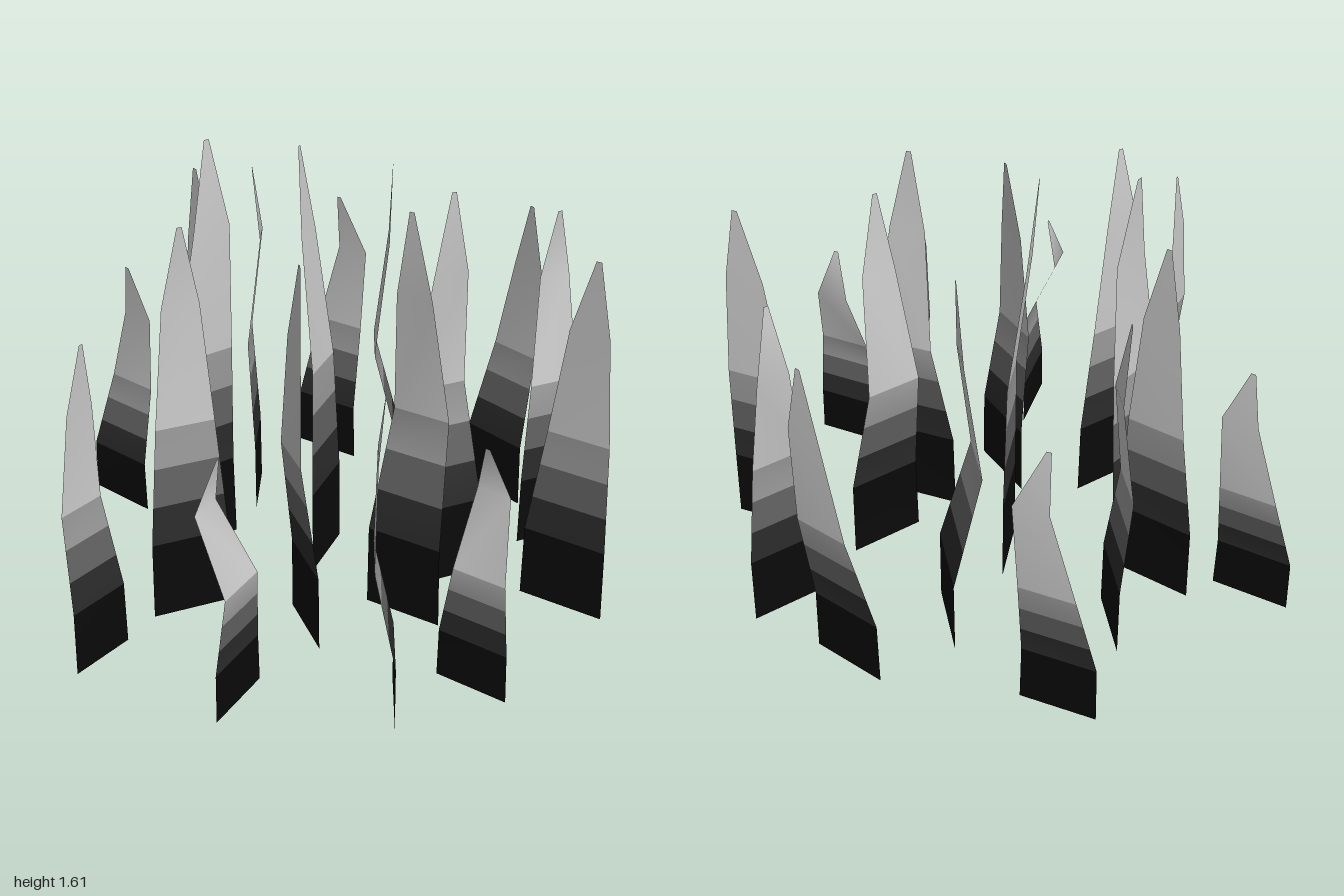
import * as THREE from 'three';

// dark root, fading through three bands into the grey upper blade
const shades = [0x0a0a0a, 0x2c2c2c, 0x646464, 0x9c9c9c, 0xcccccc];
const materials = shades.map((color) => new THREE.MeshStandardMaterial({ color, side: THREE.DoubleSide }));

// each blade: base corner to base corner (x, z, x, z), height,
// then the centre (x, z) of the middle bend, the upper bend and the tip
const clumps = {
  backBlades: [
    [-0.15, -0.96, 0.08, -0.80, 1.12, 0.02, -0.92, 0.07, -0.89, 0.015, -0.89],
    [-0.96, -0.56, -0.74, -0.37, 1.00, -0.79, -0.50, -0.75, -0.46, -0.78, -0.46],
    [-0.30, -0.66, -0.31, -0.38, 1.35, -0.33, -0.57, -0.28, -0.60, -0.31, -0.60],
    [-0.62, -0.43, -0.41, -0.21, 1.44, -0.49, -0.34, -0.49, -0.33, -0.50, -0.33],
    [0.54, -0.64, 0.73, -0.42, 1.24, 0.70, -0.54, 0.73, -0.50, 0.73, -0.48],
    [0.26, -0.54, 0.26, -0.24, 1.44, 0.15, -0.39, 0.20, -0.39, 0.21, -0.385],
  ],
  middleBlades: [
    [-0.64, -0.02, -0.38, -0.22, 1.61, -0.47, -0.11, -0.43, -0.13, -0.44, -0.15],
    [0.02, -0.19, -0.08, 0.07, 1.61, -0.04, -0.05, -0.09, -0.09, -0.12, -0.09],
    [0.70, -0.14, 0.94, -0.25, 1.32, 0.81, -0.19, 0.80, -0.27, 0.80, -0.23],
    [0.28, 0.17, 0.54, 0.05, 1.51, 0.37, 0.03, 0.40, 0.08, 0.40, 0.09],
    [0.12, 0.26, 0.37, 0.42, 1.53, 0.30, 0.27, 0.265, 0.32, 0.25, 0.325],
    [0.68, 0.20, 0.95, 0.38, 1.36, 0.84, 0.29, 0.85, 0.31, 0.86, 0.33],
  ],
  frontBlades: [
    [-0.64, 0.37, -0.37, 0.25, 1.47, -0.51, 0.29, -0.51, 0.28, -0.50, 0.31],
    [-0.15, 0.29, -0.05, 0.56, 1.39, -0.145, 0.43, -0.13, 0.42, -0.11, 0.43],
    [-0.87, 0.71, -0.72, 0.51, 1.18, -0.835, 0.59, -0.82, 0.58, -0.80, 0.58],
    [-0.25, 0.73, -0.38, 0.97, 0.90, -0.295, 0.85, -0.405, 0.81, -0.36, 0.82],
    [0.20, 0.72, 0.20, 1.00, 1.12, 0.13, 0.85, 0.14, 0.79, 0.16, 0.82],
    [0.35, 0.70, 0.57, 0.86, 0.90, 0.47, 0.80, 0.515, 0.715, 0.485, 0.75],
  ],
};

// a thin bent strip built from horizontal rows that narrow towards the tip
function makeBlade([ax, az, bx, bz, height, x2, z2, x3, z3, xt, zt]) {
  const cx = (ax + bx) / 2, cz = (az + bz) / 2;
  const row = (level, width, x, z) => ({ level, width, x, z });
  const root = row(0.2, 0.97, cx, cz), middle = row(0.5, 0.73, x2, z2);
  const mix = (t) => {
    const l = (key) => THREE.MathUtils.lerp(root[key], middle[key], t);
    return row(l('level'), l('width'), l('x'), l('z'));
  };
  const rows = [row(0, 1, cx, cz), root, mix(1 / 3), mix(2 / 3), middle,
    row(0.8, 0.46, x3, z3), row(1, 0.06, xt, zt)];

  const positions = [], indices = [];
  for (const r of rows) {
    for (const side of [-0.5, 0.5]) {
      const s = side * r.width;
      positions.push(r.x + s * (bx - ax), r.level * height, r.z + s * (bz - az));
    }
  }
  const geometry = new THREE.BufferGeometry();
  for (let i = 0; i < rows.length - 1; i++) {
    const a = i * 2;
    indices.push(a, a + 1, a + 3, a, a + 3, a + 2);
    geometry.addGroup(i * 6, 6, Math.min(i, shades.length - 1));
  }
  geometry.setAttribute('position', new THREE.Float32BufferAttribute(positions, 3));
  geometry.setIndex(indices);
  geometry.computeVertexNormals();
  return new THREE.Mesh(geometry, materials);
}

export function createModel() {
  const model = new THREE.Group();
  model.name = 'grassTuft';
  for (const [name, blades] of Object.entries(clumps)) {
    const clump = new THREE.Group();
    clump.name = name;
    blades.forEach((data, i) => {
      const blade = makeBlade(data);
      blade.name = `grassBlade${i + 1}`;
      clump.add(blade);
    });
    model.add(clump);
  }
  return model;
}
